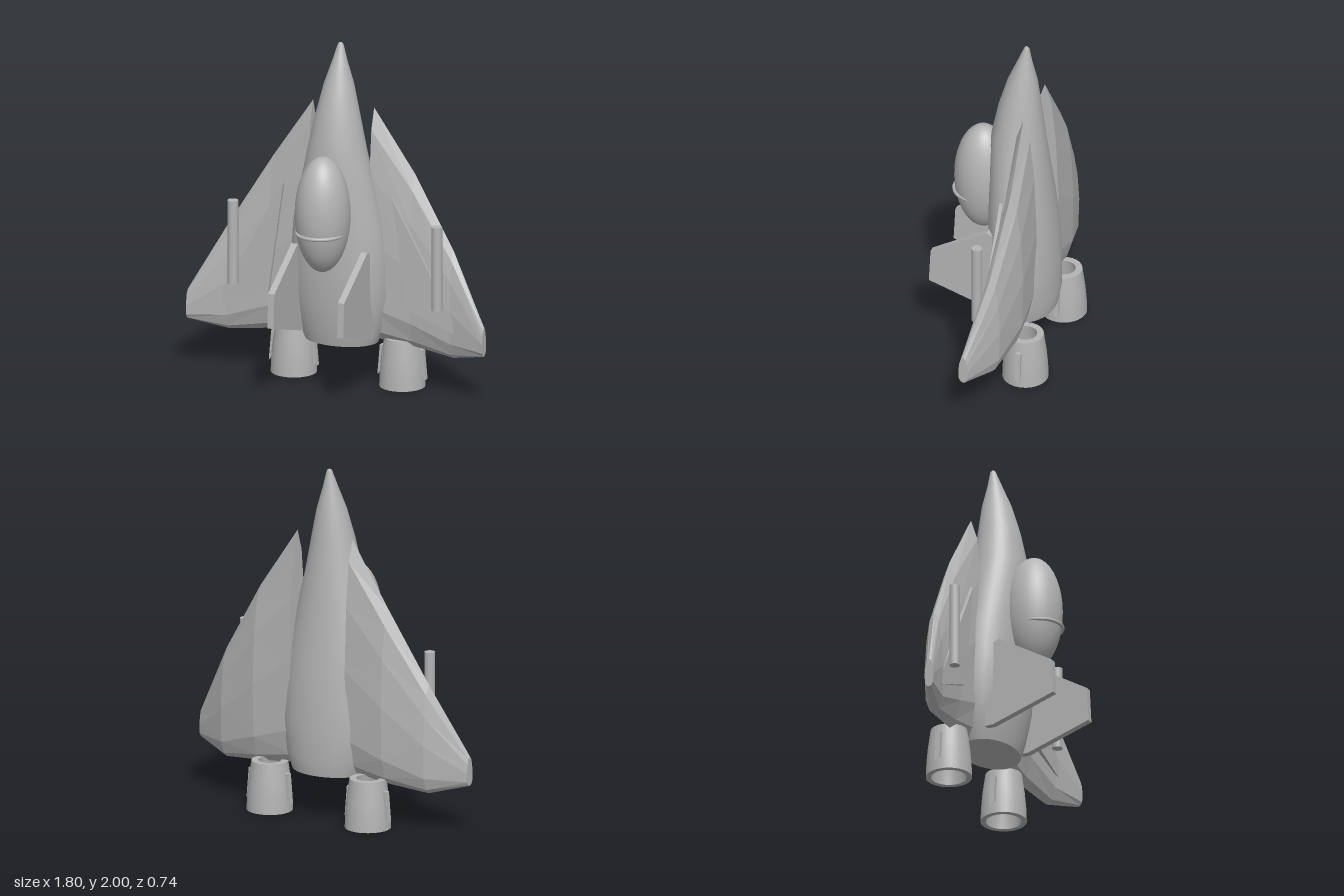
import * as THREE from 'three';

const hull = new THREE.MeshStandardMaterial({ color: 0xb4b4b4 });
hull.name = 'hull grey';

function add(group, name, geometry, x = 0, y = 0, z = 0) {
  const mesh = new THREE.Mesh(geometry, hull);
  mesh.name = name;
  mesh.position.set(x, y, z);
  group.add(mesh);
  return mesh;
}

// Skin a list of closed rings of [x, y, z] and cap both ends
function loft(rings, { flip = false, flat = false } = {}) {
  const n = rings[0].length, pos = [], idx = [];
  const tri = (a, b, c) => (flip ? idx.push(a, c, b) : idx.push(a, b, c));
  rings.forEach(r => r.forEach(p => pos.push(...p)));
  for (let i = 0; i < rings.length - 1; i++) {
    for (let j = 0; j < n; j++) {
      const a = i * n + j, b = i * n + (j + 1) % n;
      tri(a, a + n, b);
      tri(b, a + n, b + n);
    }
  }
  [rings[0], rings[rings.length - 1]].forEach((ring, end) => {
    const base = pos.length / 3;
    ring.forEach(p => pos.push(...p));
    pos.push(...[0, 1, 2].map(k => ring.reduce((sum, p) => sum + p[k], 0) / n));
    for (let j = 0; j < n; j++) {
      const a = base + j, b = base + (j + 1) % n;
      if (end) tri(base + n, b, a); else tri(base + n, a, b);
    }
  });
  let geo = new THREE.BufferGeometry();
  geo.setAttribute('position', new THREE.Float32BufferAttribute(pos, 3));
  geo.setIndex(idx);
  if (flat) geo = geo.toNonIndexed();
  geo.computeVertexNormals();
  return geo;
}

// Flat plate from outline points, centred on its own thickness
function plate(points, depth) {
  const shape = new THREE.Shape(points.map(p => new THREE.Vector2(...p)));
  const geo = new THREE.ExtrudeGeometry(shape, { depth, bevelEnabled: false });
  return geo.translate(0, 0, -depth / 2);
}

function fuselageGeometry() {
  // height, half width, back z, front z
  const stations = [
    [0.26, 0.215, -0.30, 0.01], [0.36, 0.25, -0.318, 0.035],
    [0.55, 0.29, -0.315, 0.065], [0.75, 0.283, -0.302, 0.075],
    [0.94, 0.268, -0.282, 0.075], [1.18, 0.217, -0.255, 0.075],
    [1.4, 0.168, -0.232, 0.07], [1.6, 0.125, -0.21, 0.03],
    [1.77, 0.085, -0.19, -0.02], [1.9, 0.043, -0.16, -0.075],
    [1.99, 0.017, -0.145, -0.112], [2, 0.01, -0.138, -0.118],
  ];
  return loft(stations.map(([y, rx, back, front]) =>
    Array.from({ length: 32 }, (_, j) => {
      const t = j / 32 * Math.PI * 2;
      return [rx * Math.cos(t), y, (back + front) / 2 + (front - back) / 2 * Math.sin(t)];
    })));
}

function wingGeometry(side) {
  // x, leading edge y, trailing edge y, mid z, half thickness
  const stations = [
    [0.185, 1.63, 0.28, -0.172, 0.08], [0.43, 1.27, 0.255, -0.18, 0.078],
    [0.68, 0.86, 0.23, -0.145, 0.06], [0.9, 0.46, 0.288, -0.063, 0.028],
  ];
  // chord fraction and thickness fraction, down the back and up the front
  const half = [[0.09, 0.5], [0.28, 0.82], [0.55, 1], [0.85, 0.9], [0.96, 0.5]];
  const section = [[0, 0], ...half.map(([c, t]) => [c, -t]), [1, 0],
    ...half.map(([c, t]) => [c, t]).reverse()];
  return loft(stations.map(([x, lead, trail, z, thick]) =>
    section.map(([c, t]) => [side * x, lead + (trail - lead) * c, z + thick * t])),
  { flip: side < 0, flat: true });
}

function engine(side) {
  const group = new THREE.Group();
  group.name = side > 0 ? 'leftEngine' : 'rightEngine';
  group.position.set(side * 0.33, 0, -0.235);
  // Hollow nozzle shell, with separate runs so that the rims stay sharp
  const runs = {
    nozzleOuter: [[0.13, 0], [0.127, 0.08], [0.119, 0.17], [0.103, 0.285]],
    nozzleTopRim: [[0.103, 0.285], [0.065, 0.285]],
    nozzleInner: [[0.065, 0.285], [0.08, 0.2], [0.096, 0.1], [0.1, 0]],
    nozzleBottomRim: [[0.1, 0], [0.13, 0]],
  };
  for (const [name, pts] of Object.entries(runs)) {
    add(group, name, new THREE.LatheGeometry(pts.map(p => new THREE.Vector2(...p)), 32));
  }
  // Small vane on either flank
  for (const s of [1, -1]) {
    const vane = add(group, 'nozzleVane',
      plate([[0.105, 0.225], [0.105, 0.1], [0.146, 0.05], [0.131, 0.225]], 0.032));
    if (s < 0) vane.rotation.y = Math.PI;
  }
  return group;
}

export function createModel() {
  const model = new THREE.Group();
  model.name = 'spacecraft';

  add(model, 'fuselage', fuselageGeometry());

  // Canopy and the thin band wrapped round it
  add(model, 'canopy', new THREE.SphereGeometry(1, 32, 20).scale(0.155, 0.336, 0.165), 0, 1.068, 0.127);
  const band = new THREE.CatmullRomCurve3([
    [-0.135, 0.14], [-0.125, 0.2], [-0.085, 0.262], [0, 0.294],
    [0.085, 0.262], [0.125, 0.2], [0.135, 0.14],
  ].map(([x, z]) => new THREE.Vector3(x, 0, z)));
  add(model, 'canopyBand', new THREE.TubeGeometry(band, 32, 0.011, 8), 0, 0.968, 0);

  for (const side of [1, -1]) {
    const label = side > 0 ? 'left' : 'right';
    add(model, label + 'Wing', wingGeometry(side));

    // Raised triangular panel on the wing's front
    const corners = [[0.33, 1.14], [0.42, 0.5], [0.755, 0.37]].map(([x, y]) => [side * x, y]);
    add(model, label + 'WingPanel', plate(corners, 0.02), 0, 0, -0.092);

    add(model, label + 'Cannon', new THREE.CylinderGeometry(0.03, 0.03, 0.49, 20), side * 0.62, 0.775, -0.048);

    // Forward fin, outlined in z and y and turned to face sideways
    const fin = add(model, label + 'Fin', plate(
      [[0.03, 0.84], [0.36, 0.64], [0.37, 0.44], [-0.01, 0.32], [-0.06, 0.32], [-0.06, 0.8]],
      0.038), side * 0.212);
    fin.rotation.y = -Math.PI / 2;

    model.add(engine(side));
  }
  return model;
}
